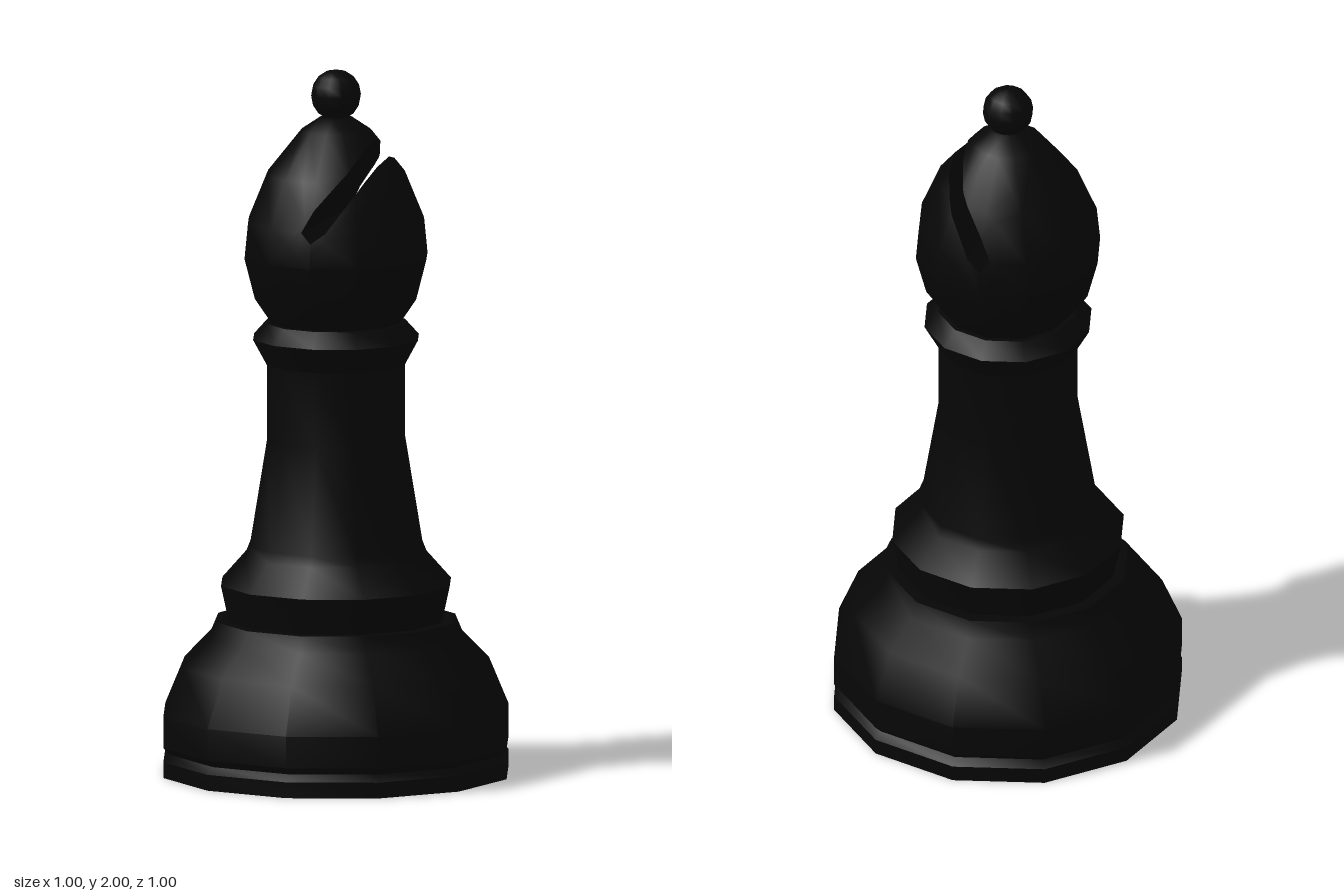
import * as THREE from 'three';
import { toCreasedNormals } from 'three/addons/utils/BufferGeometryUtils.js';

const SIDES = 12;
const V = (x, y, z) => new THREE.Vector3(x, y, z);

// Turned part from [radius, height] pairs, listed bottom to top
function turned(profile, crease = 0.62) {
  const pts = profile.map(([r, y]) => new THREE.Vector2(r, y));
  return toCreasedNormals(new THREE.LatheGeometry(pts, SIDES), crease);
}

// Keep the part of a polygon where axis . p >= c; corners are { p, n }
function clip(poly, axis, c) {
  const out = [];
  poly.forEach((a, i) => {
    const b = poly[(i + 1) % poly.length];
    const da = axis.dot(a.p) - c, db = axis.dot(b.p) - c;
    if (da >= 0) out.push(a);
    if ((da >= 0) !== (db >= 0)) {
      const t = da / (da - db);
      out.push({ p: a.p.clone().lerp(b.p, t), n: a.n.clone().lerp(b.n, t).normalize() });
    }
  });
  return out;
}

// Plane through the edge a-b, running front to back and facing the left of a-b
function edgePlane(a, b) {
  const axis = V(a[1] - b[1], b[0] - a[0], 0).normalize();
  return [axis, axis.x * a[0] + axis.y * a[1]];
}

// Slot wall standing on the edge a-b, facing the left of a-b
function wall(a, b) {
  const [n] = edgePlane(a, b);
  return [[a, 1], [a, -1], [b, -1], [b, 1]].map(([q, z]) => ({ p: V(q[0], q[1], z), n }));
}

// Convex turned head with a slanted slot cut right through from front to back;
// the slot runs between a lower and an upper line of [x, y] points
function slottedHead(profile, lower, upper) {
  const geo = turned(profile);
  const pos = geo.attributes.position, nor = geo.attributes.normal;
  const planes = [];
  let polys = [];
  for (let i = 0; i < pos.count; i += 3) {
    const tri = [0, 1, 2].map((k) => ({
      p: V().fromBufferAttribute(pos, i + k), n: V().fromBufferAttribute(nor, i + k),
    }));
    const t = new THREE.Triangle(...tri.map((a) => a.p));
    if (t.getArea() < 1e-7) continue;
    const inward = t.getNormal(V()).negate();
    planes.push([inward, inward.dot(tri[0].p) - 1e-6]);
    polys.push(tri);
  }

  // Cut each section of the slot out of the skin
  const walls = [wall(upper[0], lower[0])];
  for (let i = 0; i + 1 < lower.length; i++) {
    const quad = [lower[i], lower[i + 1], upper[i + 1], upper[i]];
    const kept = [];
    for (const poly of polys) {
      let rest = poly;
      quad.forEach((a, k) => {
        const [axis, c] = edgePlane(a, quad[(k + 1) % 4]);
        kept.push(clip(rest, axis.clone().negate(), -c));
        rest = clip(rest, axis, c);
      });
    }
    polys = kept.filter((q) => q.length > 2);
    walls.push(wall(lower[i], lower[i + 1]), wall(upper[i + 1], upper[i]));
  }

  // Trim the slot walls to the inside of the head
  for (const w of walls) polys.push(planes.reduce((q, [a, c]) => clip(q, a, c), w));

  const p = [], n = [];
  for (const q of polys) {
    for (let i = 1; i + 1 < q.length; i++) {
      for (const a of [q[0], q[i], q[i + 1]]) {
        p.push(...a.p.toArray());
        n.push(...a.n.toArray());
      }
    }
  }
  const out = new THREE.BufferGeometry();
  out.setAttribute('position', new THREE.Float32BufferAttribute(p, 3));
  out.setAttribute('normal', new THREE.Float32BufferAttribute(n, 3));
  return out;
}

export function createModel() {
  const group = new THREE.Group();
  group.name = 'chessBishop';
  // The piece is a hollow shell, open underneath
  const black = new THREE.MeshStandardMaterial({ color: 0x060606, side: THREE.DoubleSide });
  black.name = 'black';
  const add = (name, geometry) => {
    const mesh = new THREE.Mesh(geometry, black);
    mesh.name = name;
    group.add(mesh);
    return mesh;
  };

  // Wide open foot with a groove near the floor and a ledge on top
  add('base', turned([[0.5, 0], [0.5, 0.045], [0.48, 0.065], [0.5, 0.085],
    [0.5, 0.175], [0.443, 0.31], [0.365, 0.39], [0.345, 0.437], [0.31, 0.437]]));

  // Flared skirt and tapering stem
  add('stem', turned([[0.31, 0.437], [0.333, 0.54], [0.262, 0.62], [0.25, 0.65],
    [0.2, 0.95], [0.2, 1.165]]));

  // Ring under the head
  add('collar', turned([[0.2, 1.165], [0.24, 1.238], [0.2, 1.282], [0.185, 1.282]]));

  // Pointed head with the slanted cut
  add('head', slottedHead(
    [[0.185, 1.282], [0.235, 1.355], [0.265, 1.47],
      [0.255, 1.57], [0.199, 1.705], [0.1, 1.828], [0.045, 1.865], [0, 1.868]],
    [[0, 1.54], [0.04, 1.57], [0.11, 1.675], [0.21, 1.86]],
    [[-0.03, 1.57], [0.003, 1.632], [0.08, 1.73], [0.16, 1.89]],
  ));

  // Ball on top
  add('finial', new THREE.SphereGeometry(0.072, SIDES, 8)).position.y = 1.928;

  return group;
}
